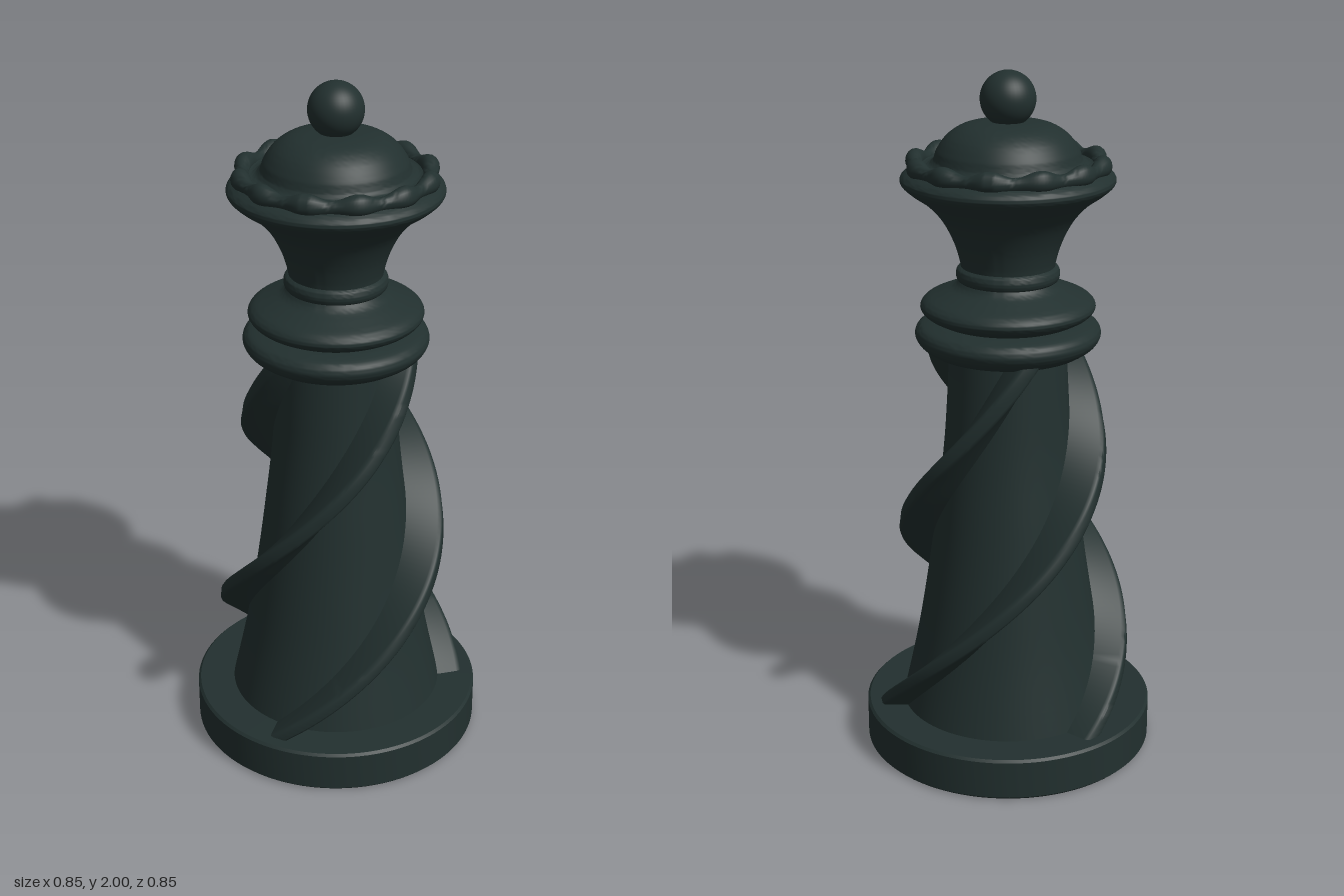
import * as THREE from 'three';
import { toCreasedNormals } from 'three/addons/utils/BufferGeometryUtils.js';

const dark = new THREE.MeshStandardMaterial({ color: 0x22302f });
dark.name = 'dark green black';

function add(group, name, geometry) {
  const mesh = new THREE.Mesh(geometry, dark);
  mesh.name = name;
  group.add(mesh);
  return mesh;
}

// Turned part: profile of [radius, height] from bottom to top
function turned(profile, crease = 0.7) {
  const pts = profile.map(([r, y]) => new THREE.Vector2(r, y));
  return toCreasedNormals(new THREE.LatheGeometry(pts, 96), crease);
}

// Smooth curve through a few profile points
function smooth(profile, n = 40) {
  const curve = new THREE.SplineCurve(profile.map(([r, y]) => new THREE.Vector2(r, y)));
  return curve.getPoints(n).map((p) => [p.x, p.y]);
}

// Linear lookup in [height, radius] pairs
function lookup(table, y) {
  for (let i = 1; i < table.length; i++) {
    const [y0, r0] = table[i - 1], [y1, r1] = table[i];
    if (y <= y1) return r0 + (r1 - r0) * (y - y0) / (y1 - y0);
  }
  return table[table.length - 1][1];
}

const coreProfile = [[0.32, 0.1], [0.272, 0.32], [0.238, 0.52], [0.21, 0.72], [0.182, 0.96], [0.165, 1.25]];
const coreRadii = smooth(coreProfile, 60).map(([r, y]) => [y, r]);
const ribRadii = smooth([[0.39, 0.1], [0.361, 0.3], [0.325, 0.62], [0.29, 0.9], [0.266, 1.05], [0.235, 1.25]], 60)
  .map(([r, y]) => [y, r]);

// Helical rib built from cross-sections stacked up the body
function ribGeometry() {
  const rows = 90, cols = 8, pos = [], idx = [];
  for (let i = 0; i <= rows; i++) {
    const y = 0.1 + 1.14 * i / rows;
    const R = lookup(ribRadii, y), c = lookup(coreRadii, y) - 0.02;
    const twist = (y - 0.17) * 3.4;
    const half = [[0.045, c], [0.03, R - 0.014], [0.026, R - 0.004], [0.018, R]];
    const section = [...half.map(([w, r]) => [-w, r]), ...half.reverse()];
    for (const [w, r] of section) {
      const a = twist + w / r;
      pos.push(r * Math.sin(a), y, r * Math.cos(a));
    }
  }
  for (let i = 0; i < rows; i++) {
    for (let j = 0; j < cols - 1; j++) {
      const a = i * cols + j, b = a + 1, d = a + cols, e = d + 1;
      idx.push(a, b, d, b, e, d);
    }
  }
  const g = new THREE.BufferGeometry();
  g.setAttribute('position', new THREE.Float32BufferAttribute(pos, 3));
  g.setIndex(idx);
  return toCreasedNormals(g, 0.75);
}

// Scalloped rim: a ring whose outline and top swell in twelve waves
function rimGeometry() {
  const g = new THREE.TorusGeometry(0.259, 0.024, 16, 192);
  g.rotateX(-Math.PI / 2);
  const p = g.attributes.position;
  for (let i = 0; i < p.count; i++) {
    const x = p.getX(i), y = p.getY(i), z = p.getZ(i);
    const r = Math.hypot(x, z), wave = Math.cos(12 * Math.atan2(x, z));
    const outer = THREE.MathUtils.smoothstep(r, 0.24, 0.283);
    const k = (r + outer * (0.008 * wave - 0.003)) / r;
    p.setXYZ(i, x * k, y + (y > 0 ? y / 0.024 : 0) * 0.009 * wave, z * k);
  }
  g.translate(0, 1.744, 0);
  g.computeVertexNormals();
  return toCreasedNormals(g, 1);
}

export function createModel() {
  const queen = new THREE.Group();
  queen.name = 'chessQueen';

  // Foot and tapering body
  add(queen, 'base', turned([[0, 0], [0.418, 0], [0.425, 0.007], [0.425, 0.118], [0.418, 0.125], [0, 0.125]], 0.6));
  add(queen, 'bodyCore', turned(smooth(coreProfile)));

  // Three spiral ribs
  const rib = ribGeometry();
  for (let i = 0; i < 3; i++) {
    add(queen, 'spiralRib' + (i + 1), rib).rotation.y = i * Math.PI * 2 / 3;
  }

  // Two collars and the neck ring
  add(queen, 'lowerCollar', turned([[0.1, 1.215], [0.215, 1.215],
    ...smooth([[0.22, 1.217], [0.25, 1.238], [0.263, 1.265], [0.25, 1.29], [0.21, 1.303]], 20), [0.1, 1.31]]));
  add(queen, 'upperCollar', turned([[0.1, 1.3], [0.19, 1.302],
    ...smooth([[0.205, 1.308], [0.235, 1.325], [0.247, 1.345], [0.232, 1.366], [0.19, 1.385], [0.15, 1.403], [0.132, 1.425]], 28)]));
  add(queen, 'neckRing', turned(smooth([[0.125, 1.412], [0.141, 1.42], [0.146, 1.437], [0.141, 1.453], [0.125, 1.462]], 16)));

  // Flared head
  add(queen, 'flaredHead', turned([
    ...smooth([[0.13, 1.44], [0.135, 1.475], [0.152, 1.53], [0.183, 1.59], [0.225, 1.638], [0.272, 1.672],
      [0.296, 1.695], [0.295, 1.713], [0.275, 1.728]], 48), [0.2, 1.735]]));
  add(queen, 'scallopedRim', rimGeometry());

  // Domed top and ball
  add(queen, 'dome', turned(smooth([[0.252, 1.752], [0.225, 1.745], [0.206, 1.758], [0.196, 1.785], [0.168, 1.823],
    [0.125, 1.85], [0.07, 1.86], [0, 1.862]], 40)));
  add(queen, 'ball', new THREE.SphereGeometry(0.077, 40, 28)).position.y = 1.923;

  return queen;
}
